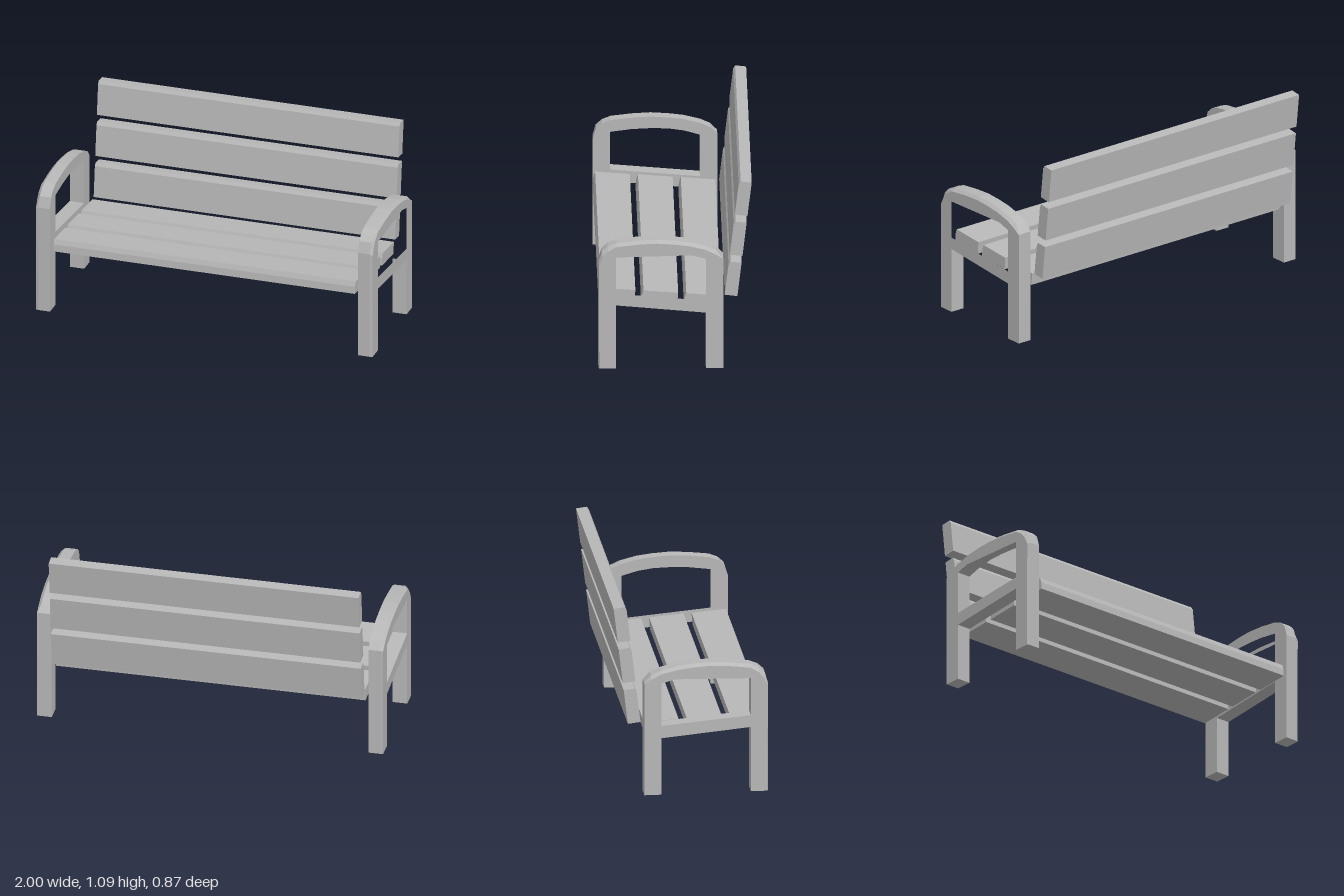
import * as THREE from 'three';

const grey = new THREE.MeshStandardMaterial({ color: 0xb8b8b8 });
grey.name = 'plain grey';

// Arm arch from front to back: z, y, then z and y of the inset outer edge
const arch = [
  [0.43, 0, 0.425, 0], [0.43, 0.636, 0.427, 0.626], [0.411, 0.7, 0.405, 0.67],
  [0.377, 0.731, 0.377, 0.705], [0.328, 0.751, 0.328, 0.734], [0.21, 0.765, 0.21, 0.748],
  [0.103, 0.771, 0.103, 0.754], [0.006, 0.765, 0.006, 0.748], [-0.083, 0.754, -0.083, 0.737],
  [-0.175, 0.731, -0.175, 0.714], [-0.233, 0.705, -0.233, 0.685], [-0.273, 0.662, -0.273, 0.66],
];
// Rear leg, underside of the seat rail, front leg
const underside = [[-0.273, 0], [-0.175, 0], [-0.175, 0.335], [0.331, 0.382], [0.331, 0]];
// Opening between the seat rail and the arm
const opening = [
  [0.331, 0.452], [0.331, 0.68], [0.21, 0.696], [0.103, 0.701], [0.006, 0.699],
  [-0.083, 0.686], [-0.175, 0.66], [-0.175, 0.408],
];

// Side frame, with a chamfer around its outer edge
function sideFrame(side) {
  const toPlane = ([z, y]) => new THREE.Vector2(-side * z, y);
  const shape = new THREE.Shape([...arch, ...underside].map(toPlane));
  shape.holes.push(new THREE.Path(opening.map(toPlane)));
  const depth = 0.085;
  const geo = new THREE.ExtrudeGeometry(shape, { depth, steps: 2, bevelEnabled: false });
  const p = geo.attributes.position;
  for (let i = 0; i < p.count; i++) {
    const d = p.getZ(i);
    if (d > depth * 0.25 && d < depth * 0.75) p.setZ(i, depth - 0.018);
    if (d < depth * 0.75) continue;
    const hit = arch.find(([z, y]) =>
      Math.abs(-side * z - p.getX(i)) < 1e-4 && Math.abs(y - p.getY(i)) < 1e-4);
    if (hit) p.setXY(i, -side * hit[2], hit[3]);
  }
  geo.computeVertexNormals();
  geo.rotateY(side * Math.PI / 2);
  geo.translate(side * 0.915, 0, 0);
  return new THREE.Mesh(geo, grey);
}

// Plank along x from a cross-section of [z, y] points
function plank(section) {
  const shape = new THREE.Shape(section.map(([z, y]) => new THREE.Vector2(-z, y)));
  const geo = new THREE.ExtrudeGeometry(shape, { depth: 1.79, bevelEnabled: false });
  geo.rotateY(Math.PI / 2);
  geo.translate(-0.895, 0, 0);
  return new THREE.Mesh(geo, grey);
}

// Sections start at the lower front corner
const seatSection = [[0, 0], [0, 0.042], [-0.008, 0.072], [-0.204, 0.072], [-0.204, 0]];
const backSection = [[0, 0], [0, 0.183], [-0.0095, 0.202], [-0.072, 0.202], [-0.072, 0]];

export function createModel() {
  const group = new THREE.Group();
  group.name = 'bench';

  for (const side of [1, -1]) {
    const frame = sideFrame(side);
    frame.name = side > 0 ? 'leftFrame' : 'rightFrame';
    group.add(frame);
  }

  for (let i = 0; i < 3; i++) {
    // Seat planks, sloping down to the back
    const seat = plank(seatSection);
    seat.name = 'seatPlank' + (i + 1);
    seat.position.set(0, 0.377 - 0.018 * i, 0.429 - 0.241 * i);
    seat.rotation.x = -0.08;
    group.add(seat);

    // Backrest planks, leaning backwards
    const back = plank(backSection);
    back.name = 'backPlank' + (i + 1);
    back.position.set(0, 0.401 + 0.2425 * i, -0.283 - 0.0285 * i);
    back.rotation.x = -0.117;
    group.add(back);
  }
  return group;
}
